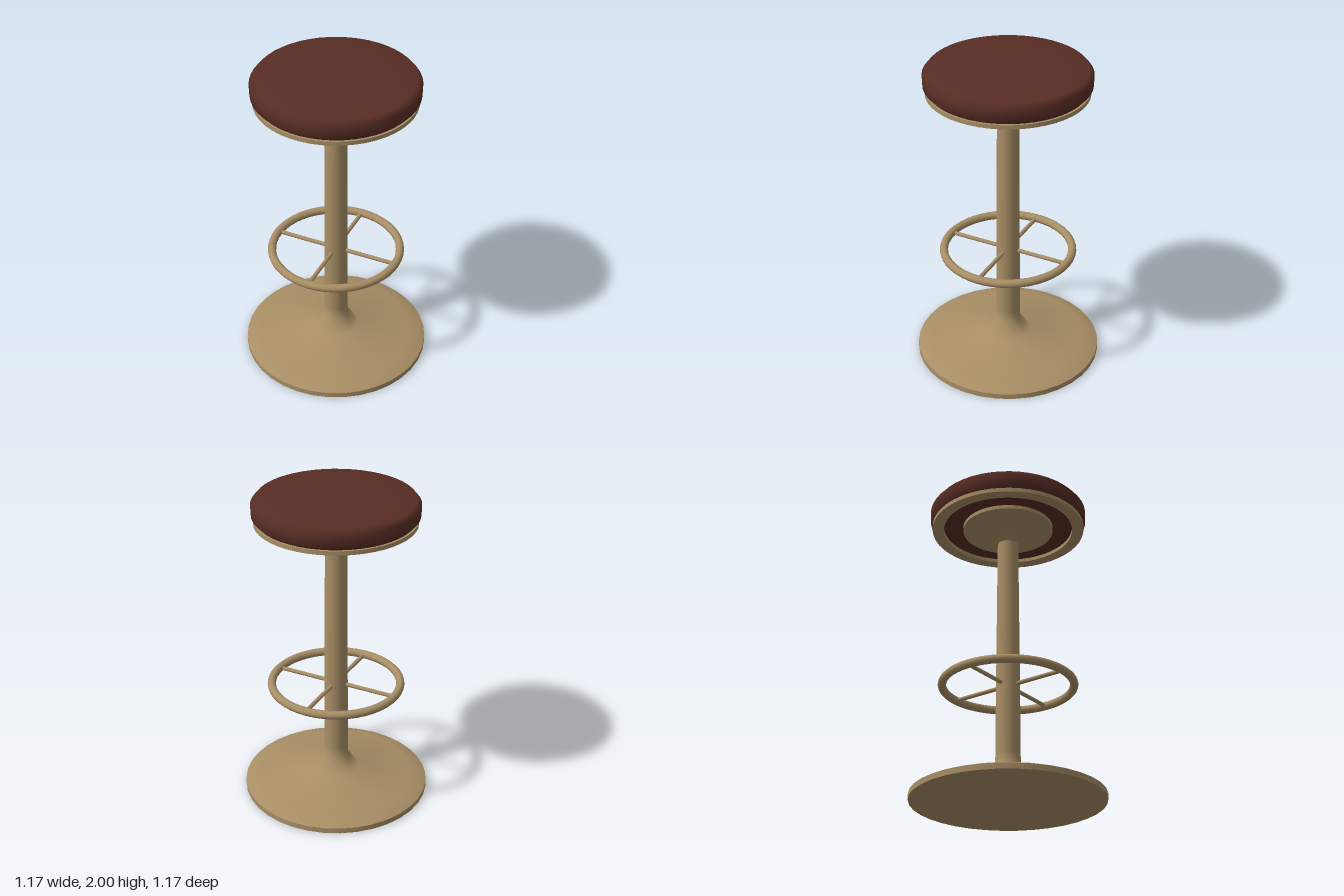
import * as THREE from 'three';

const bronze = new THREE.MeshStandardMaterial({ color: 0xa88e65 });
bronze.name = 'bronze metal';
const leather = new THREE.MeshStandardMaterial({ color: 0x582d24 });
leather.name = 'brown leather';

// Turned part: each profile runs [radius, y] counter-clockwise and is smooth; breaks between profiles stay sharp
function turned(name, material, profiles, sides = 36) {
  const group = new THREE.Group();
  group.name = name;
  for (const profile of profiles) {
    const points = profile.map(([r, y]) => new THREE.Vector2(r, y));
    const mesh = new THREE.Mesh(new THREE.LatheGeometry(points, sides), material);
    mesh.name = name + 'Surface';
    group.add(mesh);
  }
  return group;
}

export function createModel() {
  const model = new THREE.Group();
  model.name = 'barStool';

  // Floor plate with a raised, flared collar
  model.add(turned('base', bronze, [
    [[0, 0], [0.587, 0]],
    [[0.587, 0], [0.587, 0.035]],
    [[0.587, 0.035], [0.565, 0.045], [0.49, 0.073], [0.145, 0.123], [0.08, 0.215], [0.076, 0.28]],
  ]));

  // Gently tapering column
  model.add(turned('column', bronze, [
    [[0.076, 0.28], [0.074, 0.69], [0.071, 1.1], [0.068, 1.5], [0.066, 1.725]],
  ]));

  // Flared support under the seat
  model.add(turned('seatSupport', bronze, [
    [[0.066, 1.725], [0.12, 1.77], [0.29, 1.826]],
    [[0.29, 1.826], [0.29, 1.853]],
  ]));

  // Flat metal rim around the underside of the seat
  model.add(turned('seatRim', bronze, [
    [[0.415, 1.826], [0.488, 1.826]],
    [[0.488, 1.826], [0.488, 1.852]],
    [[0.488, 1.852], [0.415, 1.852]],
    [[0.415, 1.852], [0.415, 1.826]],
  ], 48));

  // Padded seat
  model.add(turned('seatCushion', leather, [
    [[0, 1.85], [0.472, 1.85]],
    [[0.472, 1.85], [0.5, 1.88], [0.502, 1.948], [0.475, 1.98], [0.25, 1.997], [0, 2]],
  ], 48));

  // Foot ring
  const footRing = new THREE.Mesh(new THREE.TorusGeometry(0.404, 0.026, 12, 48), bronze);
  footRing.name = 'footRing';
  footRing.rotation.x = Math.PI / 2;
  footRing.position.y = 0.74;
  model.add(footRing);

  // Four spokes joining the ring to the column
  for (let i = 0; i < 4; i++) {
    const spoke = new THREE.Mesh(new THREE.CylinderGeometry(0.013, 0.013, 0.34, 10), bronze);
    spoke.name = 'footRingSpoke';
    const angle = (i * Math.PI) / 2;
    spoke.rotation.set(0, angle, Math.PI / 2);
    spoke.position.set(0.23 * Math.cos(angle), 0.74, -0.23 * Math.sin(angle));
    model.add(spoke);
  }

  return model;
}
